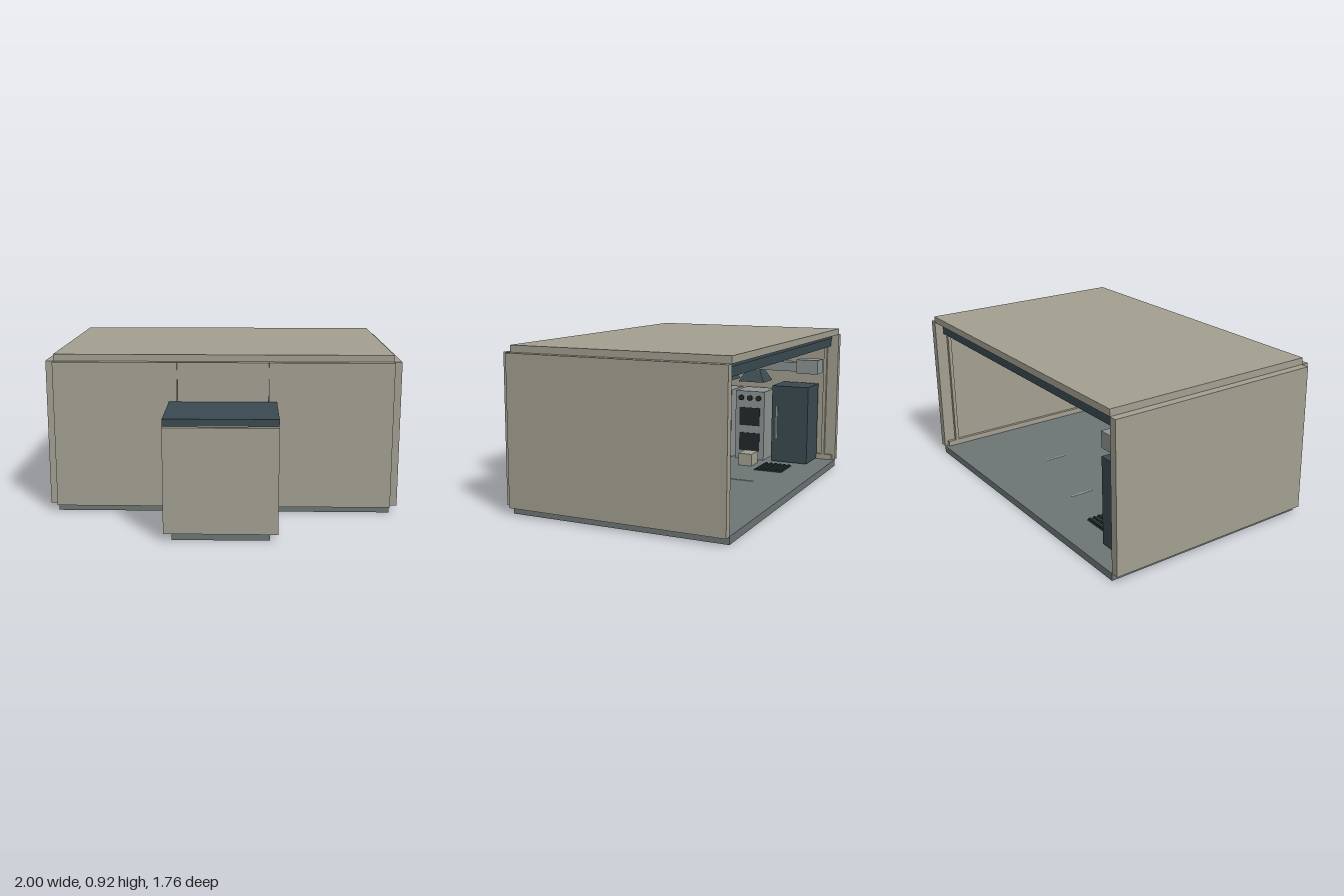
import * as THREE from 'three';

const mat = (name, color) => {
  const m = new THREE.MeshStandardMaterial({ color });
  m.name = name;
  return m;
};

export function createModel() {
  const model = new THREE.Group();
  model.name = 'openBackRoom';
  const plaster = mat('plaster', 0xa39f91);
  const slate = mat('slate', 0x3a4a50);
  const concrete = mat('concrete', 0x6c7674);
  const steel = mat('steel', 0x8c9492);
  const black = mat('black', 0x22282a);
  const white = mat('white', 0xd2d3cc);

  // Box given by its minimum and maximum corners
  const box = (name, m, x0, x1, y0, y1, z0, z1, parent = model) => {
    const mesh = new THREE.Mesh(new THREE.BoxGeometry(x1 - x0, y1 - y0, z1 - z0), m);
    mesh.position.set((x0 + x1) / 2, (y0 + y1) / 2, (z0 + z1) / 2);
    mesh.name = name;
    parent.add(mesh);
    return mesh;
  };
  // Mirrored pair of boxes
  const pair = (name, m, x0, x1, ...rest) => {
    box(name + 'Left', m, x0, x1, ...rest);
    box(name + 'Right', m, -x1, -x0, ...rest);
  };

  // Floor and roof slabs
  box('floor', concrete, -0.955, 0.955, 0, 0.042, -0.88, 0.37);
  box('porchFloor', concrete, -0.26, 0.26, 0, 0.042, 0.37, 0.855);
  box('roof', plaster, -0.955, 0.955, 0.877, 0.915, -0.88, 0.37);

  // Outer walls, with a doorway in the front
  pair('sideWall', plaster, 0.955, 1, 0.042, 0.877, -0.88, 0.368);
  pair('frontWall', plaster, 0.257, 0.955, 0.042, 0.877, 0.37, 0.412);
  box('doorHeader', plaster, -0.255, 0.255, 0.62, 0.877, 0.37, 0.41);

  // Entrance porch
  box('porchFront', plaster, -0.303, 0.303, 0.042, 0.615, 0.853, 0.88);
  pair('porchSide', plaster, 0.262, 0.303, 0.042, 0.615, 0.48, 0.853);
  box('porchRoof', slate, -0.303, 0.303, 0.617, 0.655, 0.412, 0.855);

  // Door frame inside
  pair('doorJamb', slate, 0.24, 0.26, 0.042, 0.62, 0.355, 0.37);
  box('doorLintel', slate, -0.26, 0.26, 0.62, 0.64, 0.355, 0.37);

  // Skirting and wall posts
  pair('sideSkirting', plaster, 0.935, 0.955, 0.042, 0.075, -0.86, 0.37);
  pair('frontSkirting', plaster, 0.26, 0.935, 0.042, 0.075, 0.352, 0.37);
  for (const z of [-0.8, 0.17, 0.34]) pair('wallPost', plaster, 0.935, 0.955, 0.075, 0.877, z - 0.01, z + 0.01);

  // Sliding door tracks at the open back
  for (const z of [-0.82, -0.76]) box('doorTrack', slate, -0.94, 0.94, 0.8, 0.85, z - 0.015, z + 0.015);
  box('trackHeader', slate, -0.94, 0.94, 0.85, 0.877, -0.84, -0.74);

  // Ceiling lamps
  for (const [x, z] of [[-0.5, -0.35], [0.02, 0.12]]) {
    box('ceilingLamp', slate, x - 0.14, x + 0.14, 0.85, 0.877, z - 0.03, z + 0.03);
    box('lampDiffuser', steel, x - 0.13, x + 0.13, 0.846, 0.85, z - 0.022, z + 0.022);
  }

  // Floor markings
  for (const [x, z] of [[0.32, 0.17], [0.37, -0.4], [-0.14, -0.53]])
    box('floorMark', white, x - 0.004, x + 0.004, 0.042, 0.045, z - 0.07, z + 0.07);

  // Low bench beside the door
  box('bench', steel, 0.28, 0.52, 0.042, 0.13, 0.25, 0.35);

  // Kitchen line along the right wall
  const kitchen = new THREE.Group();
  kitchen.name = 'kitchen';
  model.add(kitchen);
  box('tallCabinet', slate, -0.93, -0.7, 0.05, 0.55, -0.76, -0.52, kitchen);
  box('cabinetHandle', steel, -0.7, -0.692, 0.2, 0.42, -0.56, -0.55, kitchen);
  for (const z of [-0.36, -0.13]) {
    box('oven', steel, -0.93, -0.72, 0.042, 0.5, z - 0.1, z + 0.1, kitchen);
    for (const y of [0.1, 0.27]) box('ovenWindow', black, -0.72, -0.715, y, y + 0.12, z - 0.07, z + 0.07, kitchen);
    for (let i = -1; i <= 1; i++) {
      const knob = new THREE.Mesh(new THREE.CylinderGeometry(0.018, 0.018, 0.012, 12), black);
      knob.rotation.z = Math.PI / 2;
      knob.position.set(-0.715, 0.455, z + i * 0.06);
      knob.name = 'knob';
      kitchen.add(knob);
    }
    // Tapered extractor hood
    const hood = new THREE.Mesh(new THREE.CylinderGeometry(0.06, 0.125, 0.08, 4, 1, false, Math.PI / 4).toNonIndexed(), slate);
    hood.geometry.computeVertexNormals();
    hood.position.set(-0.82, 0.6, z);
    hood.name = 'hood';
    kitchen.add(hood);
  }
  box('counter', slate, -0.93, -0.7, 0.042, 0.3, 0, 0.3, kitchen);
  box('worktop', steel, -0.935, -0.69, 0.3, 0.32, 0, 0.31, kitchen);

  // Extractor duct and its hangers
  box('duct', steel, -0.86, -0.78, 0.64, 0.7, -0.66, 0.25, kitchen);
  box('fanBox', steel, -0.88, -0.76, 0.63, 0.72, -0.8, -0.66, kitchen);
  for (const z of [-0.5, 0.1]) {
    const rod = new THREE.Mesh(new THREE.CylinderGeometry(0.004, 0.004, 0.177, 6), black);
    rod.position.set(-0.82, 0.7885, z);
    rod.name = 'ductHanger';
    kitchen.add(rod);
  }

  // Ribbed mat and a small crate in front of the cabinet
  box('mat', slate, -0.63, -0.43, 0.042, 0.047, -0.68, -0.5);
  for (let i = 0; i < 6; i++) box('matRib', black, -0.63, -0.43, 0.047, 0.053, -0.675 + i * 0.03, -0.66 + i * 0.03);
  box('crate', plaster, -0.64, -0.52, 0.042, 0.12, -0.45, -0.36);

  return model;
}
